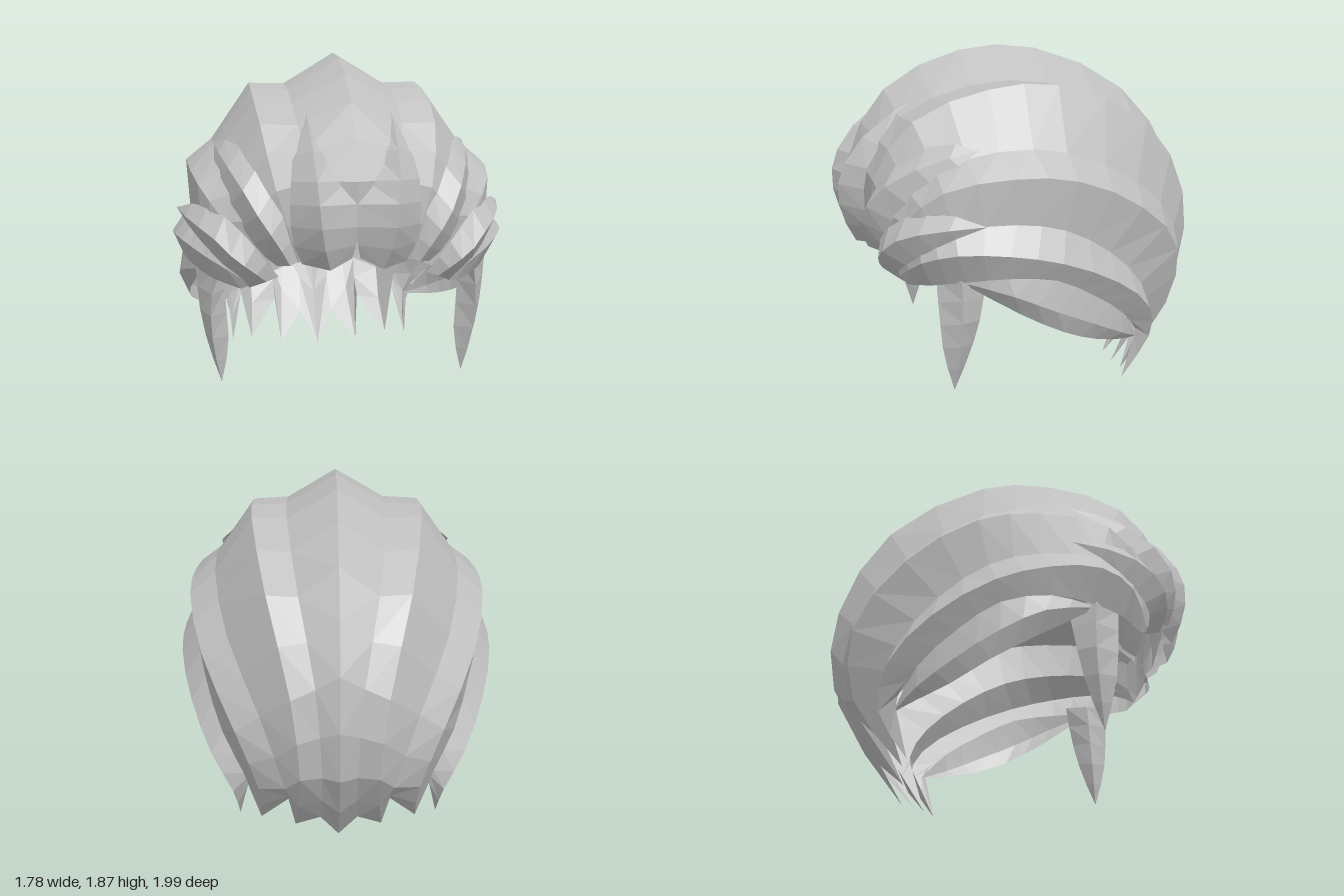
import * as THREE from 'three';

const hair = new THREE.MeshStandardMaterial({ color: 0xc0c0c0, flatShading: true, side: THREE.DoubleSide });
hair.name = 'greyHair';

// Faceted skin stretched across neighbouring guide curves; side = -1 mirrors it in x
function lock(name, guides, steps, side) {
  const rows = guides.map(g =>
    new THREE.CatmullRomCurve3(g.map(p => new THREE.Vector3(p[0] * side, p[1], p[2]))).getPoints(steps));
  const pos = rows.flatMap(r => r.flatMap(p => [p.x, p.y, p.z]));
  const index = [];
  const w = steps + 1;
  for (let i = 0; i < rows.length - 1; i++) {
    for (let j = 0; j < steps; j++) {
      const a = i * w + j, b = a + w, c = a + 1, d = b + 1;
      if (side > 0) index.push(a, b, c, b, d, c);
      else index.push(a, c, b, b, c, d);
    }
  }
  const geo = new THREE.BufferGeometry();
  geo.setAttribute('position', new THREE.Float32BufferAttribute(pos, 3));
  geo.setIndex(index);
  geo.computeVertexNormals();
  const mesh = new THREE.Mesh(geo, hair);
  mesh.name = name;
  return mesh;
}

// Crests and valleys of the swept-back locks, each from the brow over the head to the nape
const crest0 = [[0, 1.0, .88], [0, 1.3, .92], [0, 1.66, .72], [0, 1.86, .3], [0, 1.86, -.12],
  [0, 1.62, -.64], [0, 1.18, -.95], [0, .6, -.96], [0, .01, -.57]];
const valley0 = [[.1, .95, .86], [.2, 1.3, .87], [.26, 1.55, .68], [.27, 1.7, .3], [.265, 1.7, -.12],
  [.2, 1.47, -.65], [.12, 1.1, -.92], [.09, .6, -.92], [.1, .2, -.68]];
const crest1 = [[.27, .9, .84], [.38, 1.25, .84], [.44, 1.55, .64], [.46, 1.7, .25], [.45, 1.71, -.12],
  [.36, 1.48, -.65], [.24, 1.05, -.94], [.2, .6, -.94], [.24, .05, -.53]];
const valley1 = [[.33, .88, .8], [.52, 1.1, .78], [.62, 1.33, .56], [.66, 1.42, .25], [.66, 1.4, -.1],
  [.57, 1.2, -.52], [.4, .9, -.82], [.28, .5, -.86], [.27, .3, -.65]];
const crest2 = [[.4, .85, .8], [.62, 1.08, .72], [.75, 1.25, .55], [.8, 1.31, .2], [.8, 1.28, -.12],
  [.71, 1.1, -.5], [.53, .8, -.79], [.42, .45, -.78], [.43, .09, -.51]];
const valley2 = [[.48, .8, .76], [.68, .98, .66], [.76, 1.06, .5], [.79, 1.08, .2], [.78, 1.03, -.06],
  [.72, .88, -.32], [.62, .66, -.54], [.51, .45, -.62], [.49, .36, -.6]];
const crest3 = [[.5, .77, .74], [.72, .9, .66], [.84, .96, .5], [.885, .95, .25], [.88, .89, -.02],
  [.8, .74, -.34], [.68, .54, -.57], [.57, .33, -.62], [.55, .09, -.47]];
const valley3 = [[.55, .74, .7], [.68, .77, .6], [.77, .8, .45], [.83, .82, .25], [.83, .79, 0],
  [.77, .67, -.22], [.68, .52, -.42], [.6, .4, -.52], [.55, .33, -.55]];

// Lower flap behind the ear
const flap = [
  [[.75, .8, .45], [.83, .82, .25], [.83, .79, 0], [.77, .67, -.22], [.68, .52, -.42], [.55, .33, -.55]],
  [[.75, .79, .45], [.85, .73, .22], [.85, .63, 0], [.78, .52, -.22], [.68, .41, -.42], [.55, .33, -.55]],
  [[.74, .78, .45], [.8, .62, .18], [.8, .5, -.05], [.72, .41, -.25], [.64, .36, -.42], [.55, .33, -.55]],
];

// Fringe locks: outer edge, crest, inner edge, each from the pointed top to the brow
const tip1 = [.21, 1.69, .46], tip2 = [.66, 1.43, .35], tip3 = [.86, 1.1, .36];
const fringe1 = [
  [tip1, [.28, 1.48, .72], [.31, 1.32, .85], [.32, 1.17, .88], [.31, 1.02, .87], [.26, .89, .84]],
  [tip1, [.21, 1.52, .78], [.2, 1.33, .95], [.19, 1.18, 1], [.17, 1.02, .98], [.13, .87, .91]],
  [tip1, [.13, 1.5, .7], [.05, 1.32, .86], [0, 1.17, .92], [0, 1.02, .91], [.02, .92, .88]],
];
const fringe2 = [
  [tip2, [.66, 1.33, .5], [.61, 1.18, .67], [.53, 1.05, .77], [.46, .95, .81], [.38, .88, .82]],
  [tip2, [.63, 1.38, .55], [.55, 1.27, .78], [.46, 1.12, .9], [.38, 1, .91], [.32, .89, .87]],
  [tip2, [.58, 1.46, .5], [.47, 1.38, .7], [.38, 1.22, .82], [.33, 1.05, .86], [.28, .9, .84]],
];
const fringe3 = [
  [tip3, [.78, 1.01, .55], [.7, .93, .66], [.62, .86, .73], [.55, .81, .75], [.51, .75, .72]],
  [tip3, [.79, 1.07, .6], [.69, 1.02, .76], [.59, .93, .84], [.5, .86, .84], [.43, .8, .81]],
  [tip3, [.75, 1.15, .55], [.64, 1.12, .7], [.53, 1.03, .8], [.45, .93, .83], [.37, .82, .8]],
];

// Sideburn: closed four-sided spike
const burnTip = [.65, .18, .49];
const burnFront = [[.68, .8, .58], [.7, .6, .57], [.69, .4, .55], burnTip];
const sideburn = [
  burnFront,
  [[.63, .8, .46], [.62, .6, .47], [.61, .38, .48], burnTip],
  [[.7, .82, .33], [.72, .62, .36], [.68, .4, .41], burnTip],
  [[.77, .82, .47], [.76, .62, .46], [.72, .4, .47], burnTip],
  burnFront,
];

export function createModel() {
  const model = new THREE.Group();
  model.name = 'hair';
  for (const side of [1, -1]) {
    const half = new THREE.Group();
    half.name = side > 0 ? 'leftHalf' : 'rightHalf';
    half.add(
      lock('crownLock', [crest0, valley0], 16, side),
      lock('upperLock', [valley0, crest1, valley1], 16, side),
      lock('middleLock', [valley1, crest2, valley2], 16, side),
      lock('lowerLock', [valley2, crest3, valley3], 16, side),
      lock('earFlap', flap, 10, side),
      lock('innerFringe', fringe1, 7, side),
      lock('middleFringe', fringe2, 7, side),
      lock('outerFringe', fringe3, 7, side),
      lock('sideburn', sideburn, 5, side),
    );
    model.add(half);
  }
  return model;
}
